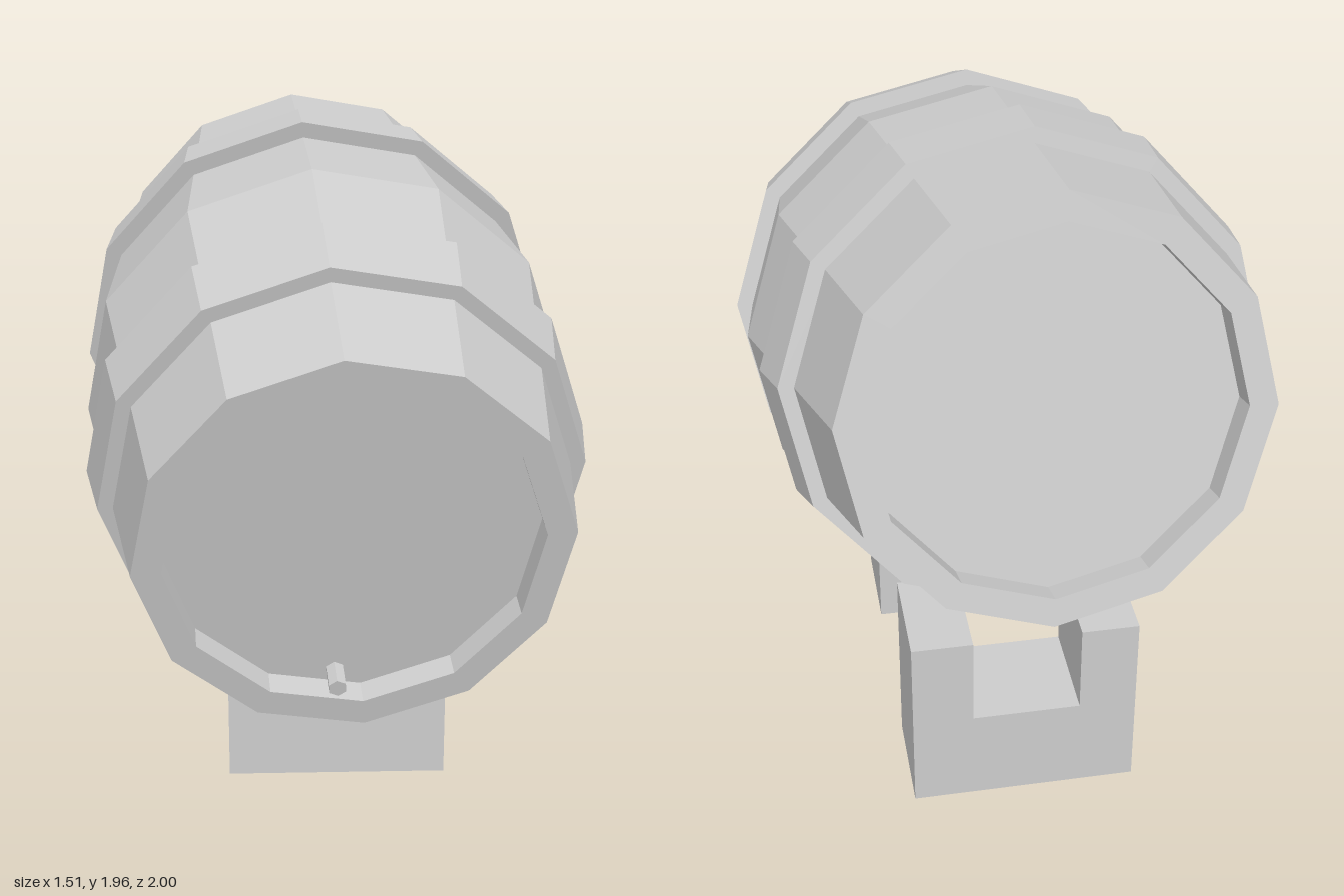
import * as THREE from 'three';

const SIDES = 12;
const grey = new THREE.MeshStandardMaterial({ color: 0xcccccc, flatShading: true });

// Faceted solid of revolution along z; the profile is [radius, position] from back to front
function turned(name, profile) {
  const points = profile.map(([r, t]) => new THREE.Vector2(r, t));
  const geometry = new THREE.LatheGeometry(points, SIDES).rotateX(Math.PI / 2);
  const mesh = new THREE.Mesh(geometry, grey);
  mesh.name = name;
  return mesh;
}

// Flat band flush against the staves on the inside
function hoop(name, back, rBack, front, rFront) {
  const t = 0.06;
  return turned(name, [
    [rBack - t, back], [rBack, back], [rFront, front], [rFront - t, front],
  ]);
}

export function createModel() {
  const model = new THREE.Group();

  // Barrel, tipped forward and slightly turned
  const barrel = new THREE.Group();
  barrel.name = 'barrel';
  const rim = 0.61, inner = 0.527, half = 0.876, lid = 0.796;
  barrel.add(turned('stavesAndLids', [
    [0, -lid], [inner, -lid], [inner, -half], [rim, -half],
    [0.737, 0],
    [rim, half], [inner, half], [inner, lid], [0, lid],
  ]));
  barrel.add(hoop('frontHoop', 0.345, 0.736, 0.546, 0.702));
  barrel.add(hoop('backHoop', -0.515, 0.708, -0.34, 0.738));

  // Small tap low on the front lid
  const tap = new THREE.Mesh(new THREE.CylinderGeometry(0.028, 0.028, 0.1, 6).rotateX(Math.PI / 2), grey);
  tap.name = 'tap';
  tap.position.set(-0.071, -0.466, 0.83);
  barrel.add(tap);

  barrel.rotation.set(0.245, 0.065, 0.077, 'YXZ');
  barrel.position.y = 1.153;
  model.add(barrel);

  // Low block under the front
  const frontBlock = new THREE.Mesh(new THREE.BoxGeometry(0.67, 0.32, 0.315), grey);
  frontBlock.name = 'frontBlock';
  frontBlock.position.set(0.025, 0.16, 0.205);
  model.add(frontBlock);

  // Taller notched block under the back
  const outline = new THREE.Shape([
    [-0.31, 0], [0.36, 0], [0.36, 0.585], [0.18, 0.585],
    [0.18, 0.3], [-0.14, 0.3], [-0.14, 0.585], [-0.31, 0.585],
  ].map(([x, y]) => new THREE.Vector2(x, y)));
  const backBlock = new THREE.Mesh(
    new THREE.ExtrudeGeometry(outline, { depth: 0.315, bevelEnabled: false }), grey);
  backBlock.name = 'backBlock';
  backBlock.position.z = -0.82;
  model.add(backBlock);

  return model;
}
